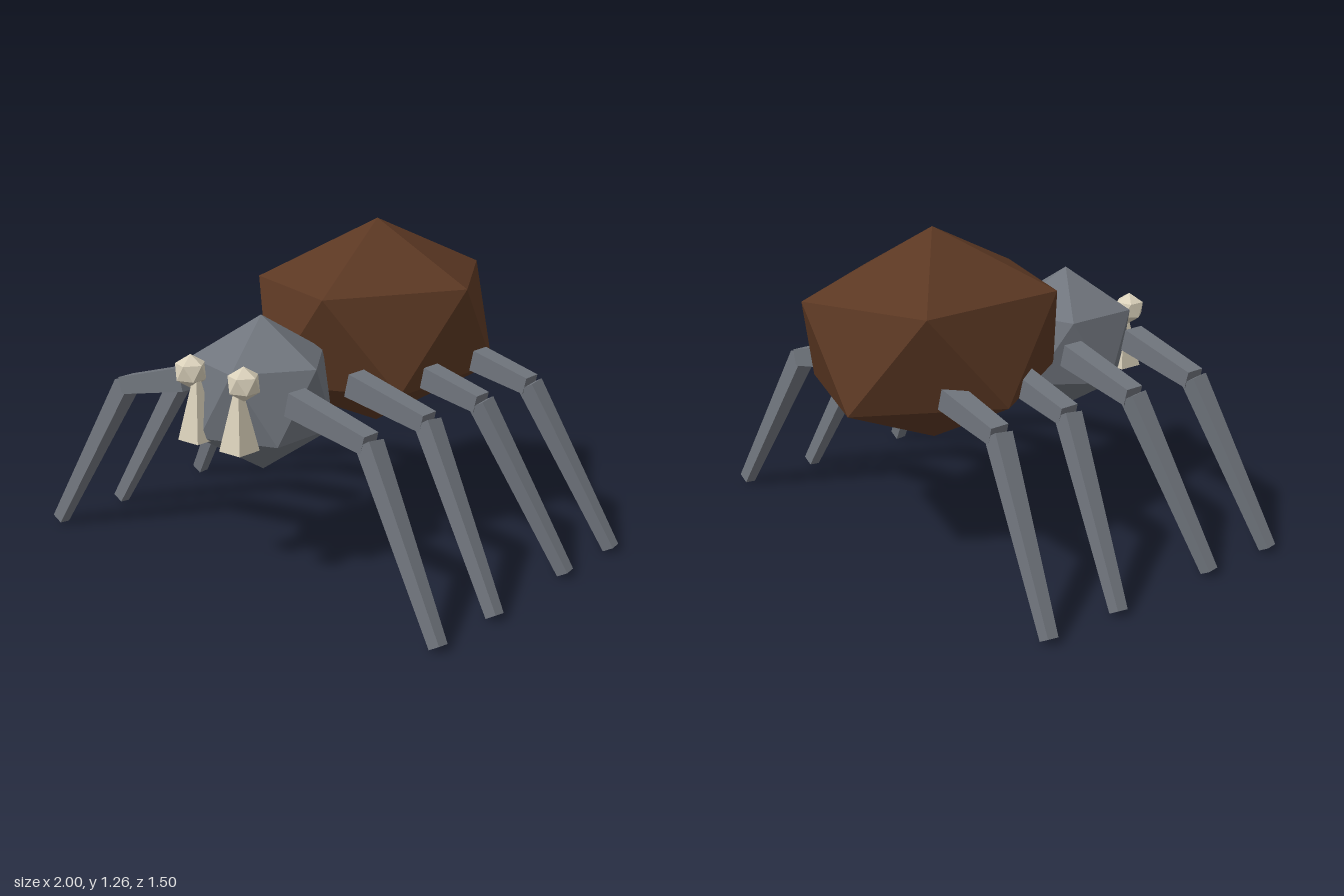
import * as THREE from 'three';

const brown = new THREE.MeshStandardMaterial({ color: 0x5c3823 });
const grey = new THREE.MeshStandardMaterial({ color: 0x70757d });
const cream = new THREE.MeshStandardMaterial({ color: 0xd9d0ba });
brown.name = 'brown';
grey.name = 'slate grey';
cream.name = 'cream';

function part(name, geometry, material, parent) {
  const mesh = new THREE.Mesh(geometry, material);
  mesh.name = name;
  parent.add(mesh);
  return mesh;
}

// Twenty-sided ball standing on one corner, stretched to the given radii
function facetedBall(rx, ry, rz, turn = 0) {
  return new THREE.IcosahedronGeometry(1, 0)
    .rotateZ(Math.atan2(2, 1 + Math.sqrt(5)))
    .rotateY(Math.PI + turn)
    .scale(rx, ry, rz);
}

// Box tapering from point a to point b; sizes are [thickness, width along z]
function taperedBar(a, b, sizeA, sizeB) {
  const up = b.clone().sub(a);
  const length = up.length();
  up.normalize();
  const side = up.clone().cross(new THREE.Vector3(0, 0, 1)).normalize();
  const depth = side.clone().cross(up);
  const geometry = new THREE.BoxGeometry(1, length, 1);
  const p = geometry.attributes.position;
  for (let i = 0; i < p.count; i++) {
    const size = p.getY(i) > 0 ? sizeB : sizeA;
    p.setX(i, p.getX(i) * size[0]);
    p.setZ(i, p.getZ(i) * size[1]);
  }
  geometry.applyMatrix4(new THREE.Matrix4().makeBasis(side, up, depth)
    .setPosition(a.clone().add(b).multiplyScalar(0.5)));
  geometry.computeVertexNormals();
  return geometry;
}

export function createModel() {
  const model = new THREE.Group();
  model.name = 'spider';

  // Body
  part('abdomen', facetedBall(0.492, 0.42, 0.592, 0.02), brown, model)
    .position.set(-0.01, 0.84, -0.245);
  part('head', facetedBall(0.3, 0.3, 0.3, 0.02), grey, model)
    .position.set(0.005, 0.69, 0.45);

  // Eyes and the fangs hanging below them
  for (const [side, eyeX, fangX] of [['left', 0.145, 0.12], ['right', -0.125, -0.093]]) {
    part(side + 'Eye', facetedBall(0.065, 0.065, 0.065), cream, model)
      .position.set(eyeX, 0.8, 0.69);
    const fang = new THREE.ConeGeometry(0.073, 0.29, 4, 1, false, Math.PI / 4).toNonIndexed();
    fang.computeVertexNormals();
    part(side + 'Fang', fang, cream, model).position.set(fangX, 0.69, 0.693);
  }

  // Four pairs of legs, front to back
  for (const s of [1, -1]) {
    for (let i = 0; i < 4; i++) {
      const leg = new THREE.Group();
      leg.name = (s > 0 ? 'left' : 'right') + 'Leg' + (i + 1);
      const z = 0.562 - i * 0.331;
      const splay = i < 2 ? 0.083 : -0.083;
      const hip = new THREE.Vector3(s * 0.262, 0.725, z - s * 0.01);
      const knee = new THREE.Vector3(s * 0.605, 0.64, z - s * 0.017);
      const foot = new THREE.Vector3(s * 0.965 + (i < 2 ? 0.012 : -0.012), 0.015,
        z - s * 0.02 + splay);
      part('upperLeg', taperedBar(hip, knee, [0.092, 0.09], [0.068, 0.08]), grey, leg);
      part('lowerLeg', taperedBar(knee, foot, [0.072, 0.076], [0.05, 0.046]), grey, leg);
      model.add(leg);
    }
  }
  return model;
}
